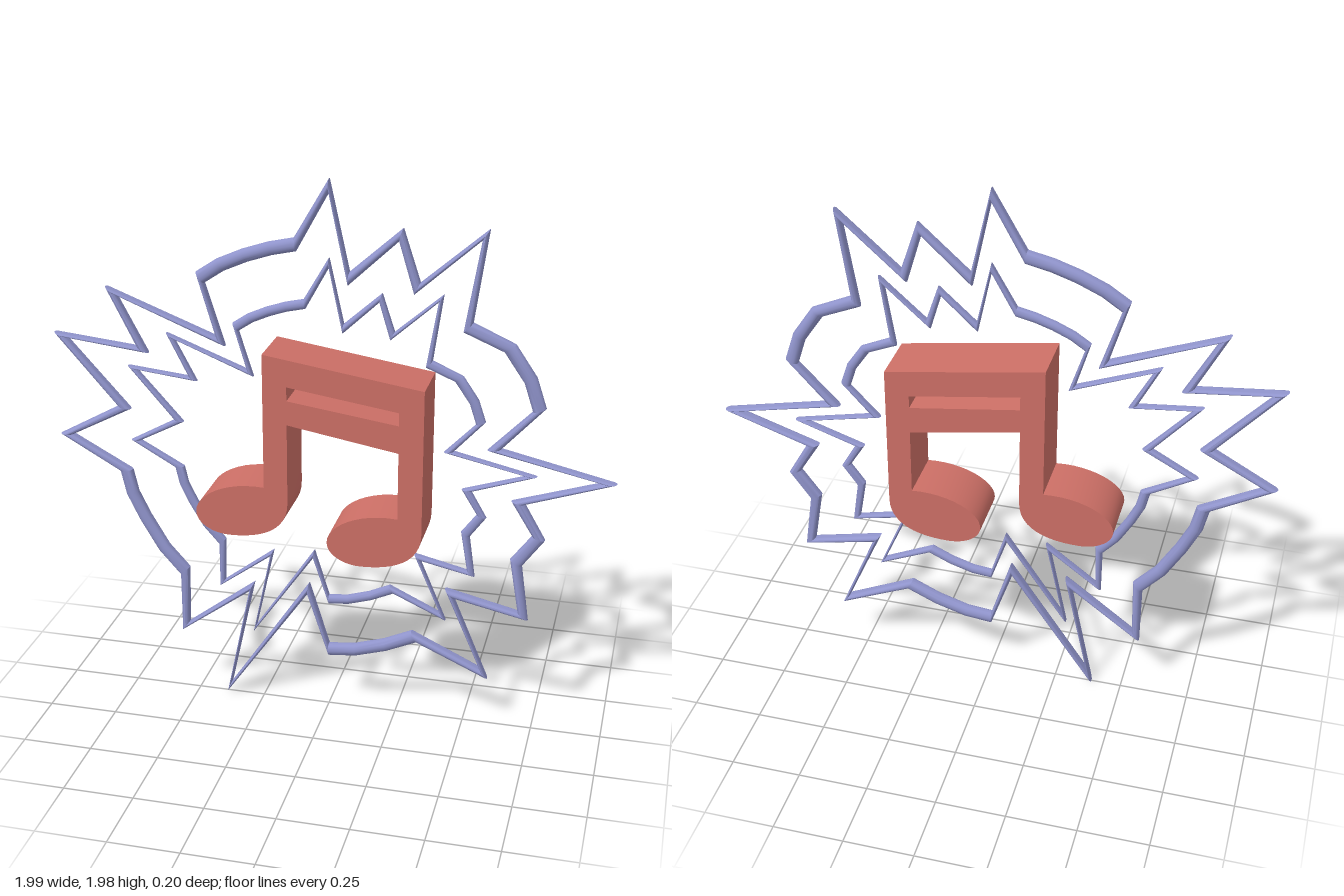
import * as THREE from 'three';
import { toCreasedNormals } from 'three/addons/utils/BufferGeometryUtils.js';

const noteMaterial = new THREE.MeshStandardMaterial({ color: 0xcc6f66 });
const ringMaterial = new THREE.MeshStandardMaterial({ color: 0x9094cc });

// Outer edge of the jagged ring, clockwise from the top spike, about the ring's centre
const OUTLINE = [
  [0, 0.985], [0.07, 0.675], [0.25, 0.835], [0.31, 0.655], [0.535, 0.85],
  [0.49, 0.53], [0.635, 0.465], [0.71, 0.355], [0.745, 0.25], [0.6, 0.09],
  [0.995, 0], [0.69, -0.105], [0.765, -0.235], [0.69, -0.34], [0.72, -0.55],
  [0.455, -0.495], [0.585, -0.805], [0.325, -0.69], [0.215, -0.74], [0.1, -0.775],
  [0, -0.785], [-0.08, -0.545], [-0.39, -0.99], [-0.3, -0.56], [-0.56, -0.75],
  [-0.56, -0.52], [-0.64, -0.43], [-0.71, -0.31], [-0.755, -0.215], [-0.775, -0.125],
  [-0.995, 0], [-0.77, 0.125], [-0.995, 0.385], [-0.69, 0.355], [-0.795, 0.565],
  [-0.4, 0.415], [-0.465, 0.64], [-0.39, 0.69], [-0.3, 0.73], [-0.21, 0.76], [-0.12, 0.78],
];

// Closed tube whose round sections all stand in planes through the ring's axis
function jaggedRing(name, scale) {
  const sides = 16, radial = 0.024, depth = 0.021;
  const positions = [], indices = [], n = OUTLINE.length;
  OUTLINE.forEach(([x, y], i) => {
    const length = Math.hypot(x, y);
    for (let j = 0; j < sides; j++) {
      const a = (j / sides) * Math.PI * 2;
      const k = (length - radial + radial * Math.cos(a)) / length;
      positions.push(x * k, y * k, depth * Math.sin(a));
      const i2 = ((i + 1) % n) * sides, i1 = i * sides, j2 = (j + 1) % sides;
      indices.push(i1 + j, i1 + j2, i2 + j, i1 + j2, i2 + j2, i2 + j);
    }
  });
  const geometry = new THREE.BufferGeometry();
  geometry.setAttribute('position', new THREE.Float32BufferAttribute(positions, 3));
  geometry.setIndex(indices);
  const mesh = new THREE.Mesh(toCreasedNormals(geometry, 0.6), ringMaterial);
  mesh.name = name;
  mesh.scale.setScalar(scale);
  mesh.position.y = 1;
  return mesh;
}

// Rounded note head, from the stem's right side round to its left side
function addHead(shape, x, y) {
  shape.lineTo(x, y - 0.05);
  shape.bezierCurveTo(x, y - 0.16, x - 0.1, y - 0.195, x - 0.215, y - 0.195);
  shape.bezierCurveTo(x - 0.28, y - 0.195, x - 0.335, y - 0.16, x - 0.335, y - 0.115);
  shape.bezierCurveTo(x - 0.335, y - 0.05, x - 0.22, y + 0.012, x - 0.085, y);
}

function musicNote() {
  const shape = new THREE.Shape();
  shape.moveTo(-0.21, 1.395);
  shape.lineTo(0.35, 1.31);
  addHead(shape, 0.35, 0.835);
  shape.lineTo(0.265, 1.08);
  shape.lineTo(-0.125, 1.147);
  addHead(shape, -0.125, 0.905);
  shape.closePath();

  // Slot between the two beams
  shape.holes.push(new THREE.Path([
    [-0.125, 1.285], [-0.125, 1.235], [0.265, 1.18], [0.265, 1.227],
  ].map(([x, y]) => new THREE.Vector2(x, y))));

  const geometry = new THREE.ExtrudeGeometry(shape, { depth: 0.2, bevelEnabled: false, curveSegments: 12 });
  geometry.translate(0, 0, -0.1);
  const mesh = new THREE.Mesh(toCreasedNormals(geometry, 0.6), noteMaterial);
  mesh.name = 'musicNote';
  return mesh;
}

export function createModel() {
  const model = new THREE.Group();
  model.name = 'noteWithSoundRings';
  model.add(musicNote(), jaggedRing('outerRing', 1), jaggedRing('innerRing', 0.73));
  return model;
}
